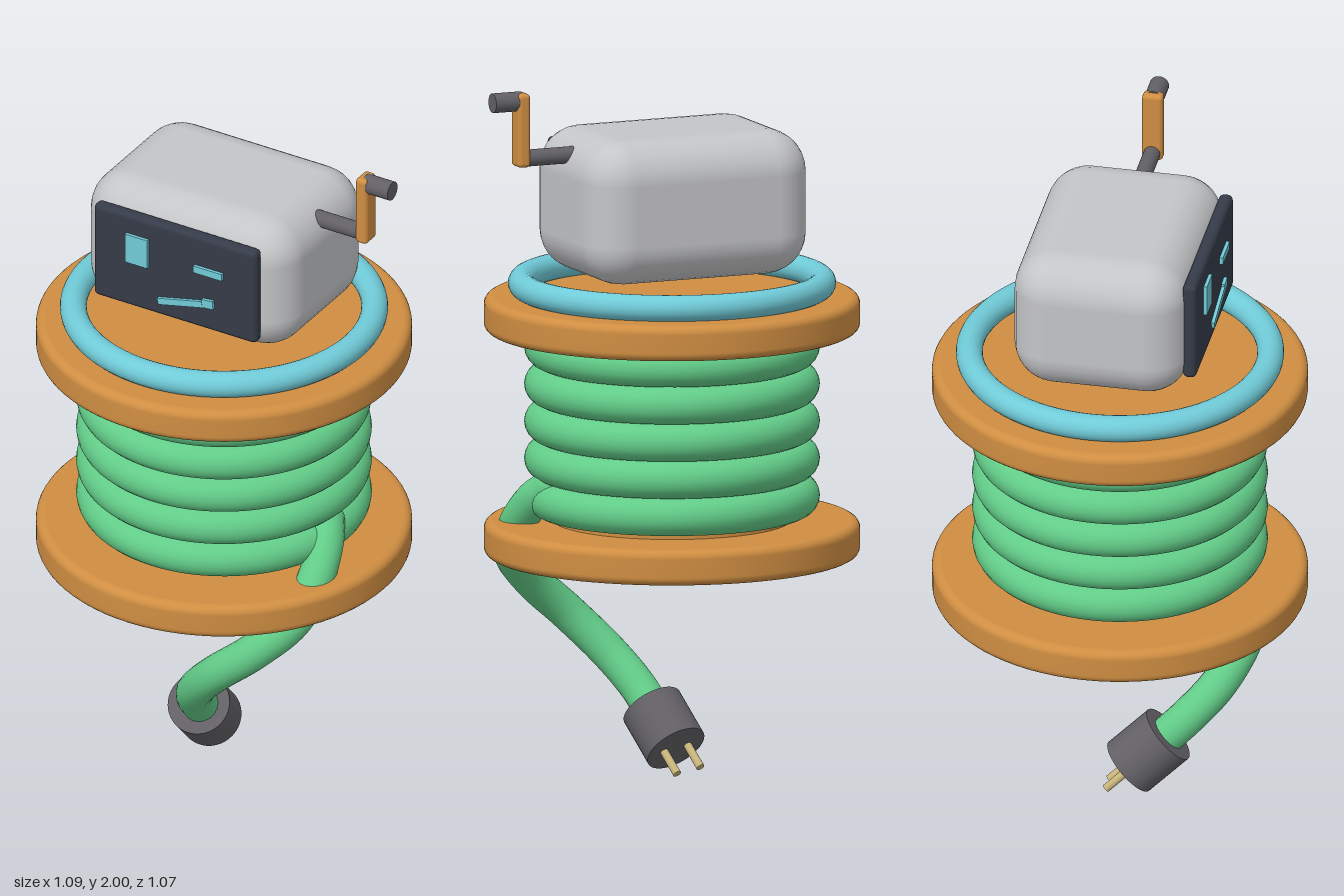
import * as THREE from 'three';
import { RoundedBoxGeometry } from 'three/addons/geometries/RoundedBoxGeometry.js';

const material = (name, color) => {
  const m = new THREE.MeshStandardMaterial({ color });
  m.name = name;
  return m;
};

export function createModel() {
  const model = new THREE.Group();
  model.name = 'cableReelRobot';

  const orange = material('orange wood', 0xd08e42);
  const green = material('green cable', 0x62cc88);
  const blue = material('light blue', 0x70cbd8);
  const shell = material('light grey shell', 0xc4c5c7);
  const dark = material('dark screen', 0x353b48);
  const grey = material('dark grey', 0x626065);
  const brass = material('brass', 0xc9b57c);

  const CX = -0.012; // axis of the reel

  const add = (name, geometry, mat, x, y, z) => {
    const mesh = new THREE.Mesh(geometry, mat);
    mesh.name = name;
    mesh.position.set(x, y, z);
    model.add(mesh);
    return mesh;
  };
  const box = (name, mat, w, h, d, r, x, y, z) =>
    add(name, new RoundedBoxGeometry(w, h, d, 4, r), mat, x, y, z);
  const ring = (name, mat, radius, tube, y) => {
    const g = new THREE.TorusGeometry(radius, tube, 20, 80).rotateX(Math.PI / 2);
    return add(name, g, mat, CX, y, 0);
  };

  // Round disc with softened rims
  const disc = (name, y) => {
    const R = 0.533, h = 0.051, r = 0.024;
    const profile = [new THREE.Vector2(0, -h), new THREE.Vector2(R - r - 0.001, -h)];
    for (const [cy, start] of [[-h + r, -Math.PI / 2], [h - r, 0]]) {
      for (let i = 0; i <= 5; i++) {
        const a = start + (i / 5) * Math.PI / 2;
        profile.push(new THREE.Vector2(R - r + r * Math.cos(a), cy + r * Math.sin(a)));
      }
    }
    profile.push(new THREE.Vector2(R - r - 0.001, h), new THREE.Vector2(0, h));
    add(name, new THREE.LatheGeometry(profile, 80), orange, CX, y, 0);
  };
  disc('lowerDisc', 0.686);
  disc('upperDisc', 1.331);

  // Drum with five cable windings
  add('drum', new THREE.CylinderGeometry(0.34, 0.34, 0.6, 48), orange, CX, 1.01, 0);
  for (let i = 0; i < 5; i++) ring('cableWinding', green, 0.365, 0.054, 0.806 + i * 0.107);

  // Collar under the head
  ring('collar', blue, 0.427, 0.038, 1.417);

  // Head with screen face
  box('head', shell, 0.685, 0.415, 0.505, 0.12, CX, 1.658, -0.004);
  box('screen', dark, 0.538, 0.302, 0.04, 0.016, CX, 1.664, 0.254);
  const plate = (name, w, h, x, y, tilt = 0) => {
    const mesh = add(name, new THREE.BoxGeometry(w, h, 0.0098), blue, x, y, 0.2788);
    mesh.rotation.z = tilt;
  };
  plate('openEye', 0.074, 0.092, -0.132, 1.708);
  plate('winkingEye', 0.094, 0.022, 0.104, 1.708);
  plate('mouth', 0.15, 0.02, 0.012, 1.582, 0.23);
  plate('mouthCorner', 0.036, 0.026, 0.103, 1.605, 0.1);

  // Crank on the side of the head
  const rod = (name, r, x0, x1, y) =>
    add(name, new THREE.CylinderGeometry(r, r, x1 - x0, 28).rotateZ(Math.PI / 2), grey, (x0 + x1) / 2, y, 0);
  rod('crankAxle', 0.024, 0.25, 0.45, 1.807);
  box('crankArm', orange, 0.038, 0.212, 0.06, 0.012, 0.457, 1.89, 0);
  rod('crankHandle', 0.028, 0.458, 0.545, 1.972);

  // Loose cable end running through the lower disc
  const path = new THREE.CatmullRomCurve3([
    [0.35, 0.845, 0.04], [0.375, 0.81, 0.085], [0.392, 0.73, 0.165], [0.372, 0.63, 0.25],
    [0.28, 0.53, 0.315], [0.165, 0.43, 0.33], [0.065, 0.32, 0.275], [0.01, 0.23, 0.195], [-0.015, 0.15, 0.115],
  ].map((p) => new THREE.Vector3(...p)));
  add('looseCable', new THREE.TubeGeometry(path, 80, 0.053, 20), green, 0, 0, 0);
  add('cableTip', new THREE.SphereGeometry(0.053, 20, 14), green, 0.35, 0.845, 0.04);

  // Plug with two prongs, tilted along the cable
  const plug = new THREE.Group();
  plug.name = 'plug';
  plug.position.set(-0.025, 0.122, 0.085);
  plug.quaternion.setFromUnitVectors(
    new THREE.Vector3(0, -1, 0), new THREE.Vector3(-0.17, -0.68, -0.71).normalize());
  const body = new THREE.Mesh(new THREE.CylinderGeometry(0.09, 0.09, 0.152, 40), grey);
  body.name = 'plugBody';
  plug.add(body);
  for (const side of [-1, 1]) {
    const prong = new THREE.Mesh(new THREE.CylinderGeometry(0.012, 0.012, 0.1, 16), brass);
    prong.name = 'prong';
    prong.position.set(side * 0.038, -0.108, 0);
    plug.add(prong);
  }
  model.add(plug);

  return model;
}
